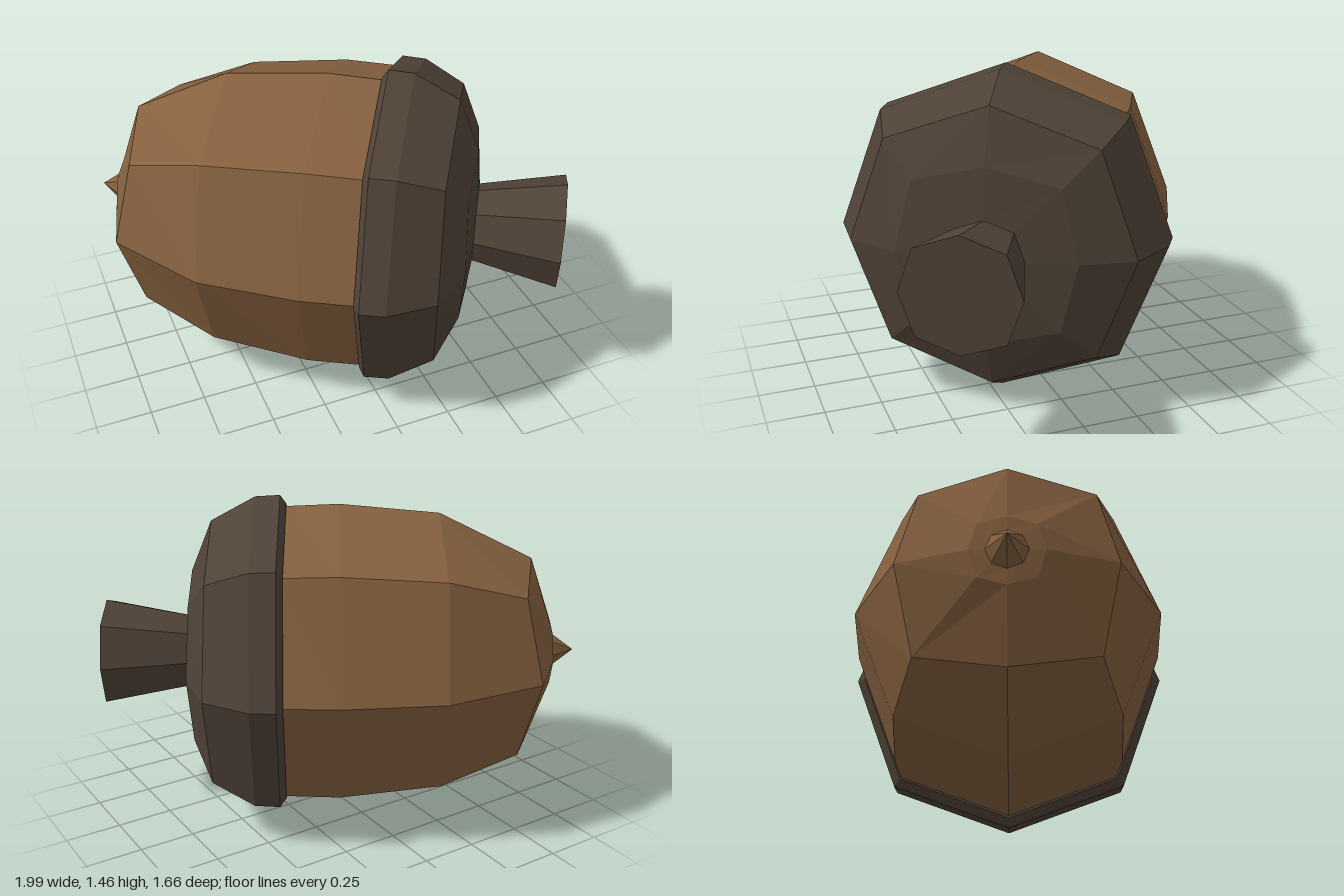
import * as THREE from 'three';

// Eight-sided loft along +x. Each ring: [x, radius, diagonal x, diagonal radius],
// where the diagonal values shape the four 45-degree corners (like a rounded box).
function loft(name, color, rings) {
  const SIDES = 8;
  const positions = [];
  const index = [];
  for (const [x, r, dx = x, dr = r] of rings) {
    for (let j = 0; j < SIDES; j++) {
      const a = (j / SIDES) * Math.PI * 2;
      const corner = j % 2 === 1;
      const radius = corner ? dr : r;
      positions.push(corner ? dx : x, radius * Math.cos(a), radius * Math.sin(a));
    }
  }
  for (let i = 0; i < rings.length - 1; i++) {
    for (let j = 0; j < SIDES; j++) {
      const a = i * SIDES + j;
      const d = i * SIDES + ((j + 1) % SIDES);
      const b = a + SIDES;
      const c = d + SIDES;
      // Leave out triangles that collapse at a closed end
      if (rings[i][1] > 0) index.push(a, d, c);
      if (rings[i + 1][1] > 0) index.push(a, c, b);
      else if (rings[i][1] > 0) continue;
    }
  }
  const geometry = new THREE.BufferGeometry();
  geometry.setAttribute('position', new THREE.Float32BufferAttribute(positions, 3));
  geometry.setIndex(index);
  const flat = geometry.toNonIndexed();
  flat.computeVertexNormals();
  const mesh = new THREE.Mesh(
    flat,
    new THREE.MeshStandardMaterial({ color, flatShading: true })
  );
  mesh.name = name;
  return mesh;
}

export function createModel() {
  const group = new THREE.Group();
  group.name = 'acorn';
  const nutColor = 0x85603f;
  const capColor = 0x4f4237;

  const acorn = new THREE.Group();
  acorn.name = 'lyingAcorn';

  // Nut with its small pointed tip
  acorn.add(loft('nut', nutColor, [
    [-1.113, 0],
    [-1.0, 0.085, -1.0, 0.085],
    [-0.995, 0.15, -0.99, 0.165],
    [-0.893, 0.44, -0.818, 0.514],
    [-0.472, 0.647, -0.472, 0.658],
    [-0.028, 0.688, -0.028, 0.708],
    [0.217, 0.678, 0.217, 0.7],
    [0.3, 0.66, 0.3, 0.68],
    [0.3, 0],
  ]));

  // Cap: turned-in lip, rim band and domed top
  acorn.add(loft('cap', capColor, [
    [0.22, 0.62, 0.22, 0.64],
    [0.205, 0.69, 0.205, 0.71],
    [0.232, 0.728, 0.232, 0.75],
    [0.342, 0.722, 0.342, 0.744],
    [0.54, 0.614, 0.53, 0.64],
    [0.634, 0.386, 0.62, 0.44],
    [0.652, 0.17],
    [0.655, 0],
  ]));

  // Stem flaring to a flat end
  acorn.add(loft('stem', capColor, [
    [0.62, 0.163, 0.62, 0.17],
    [1.03, 0.245, 1.03, 0.256],
    [1.03, 0],
  ]));

  // Lay it on its side, turned towards the front
  acorn.rotation.y = -0.564;
  acorn.position.set(-0.01, 0.73, 0.015);
  group.add(acorn);
  return group;
}
